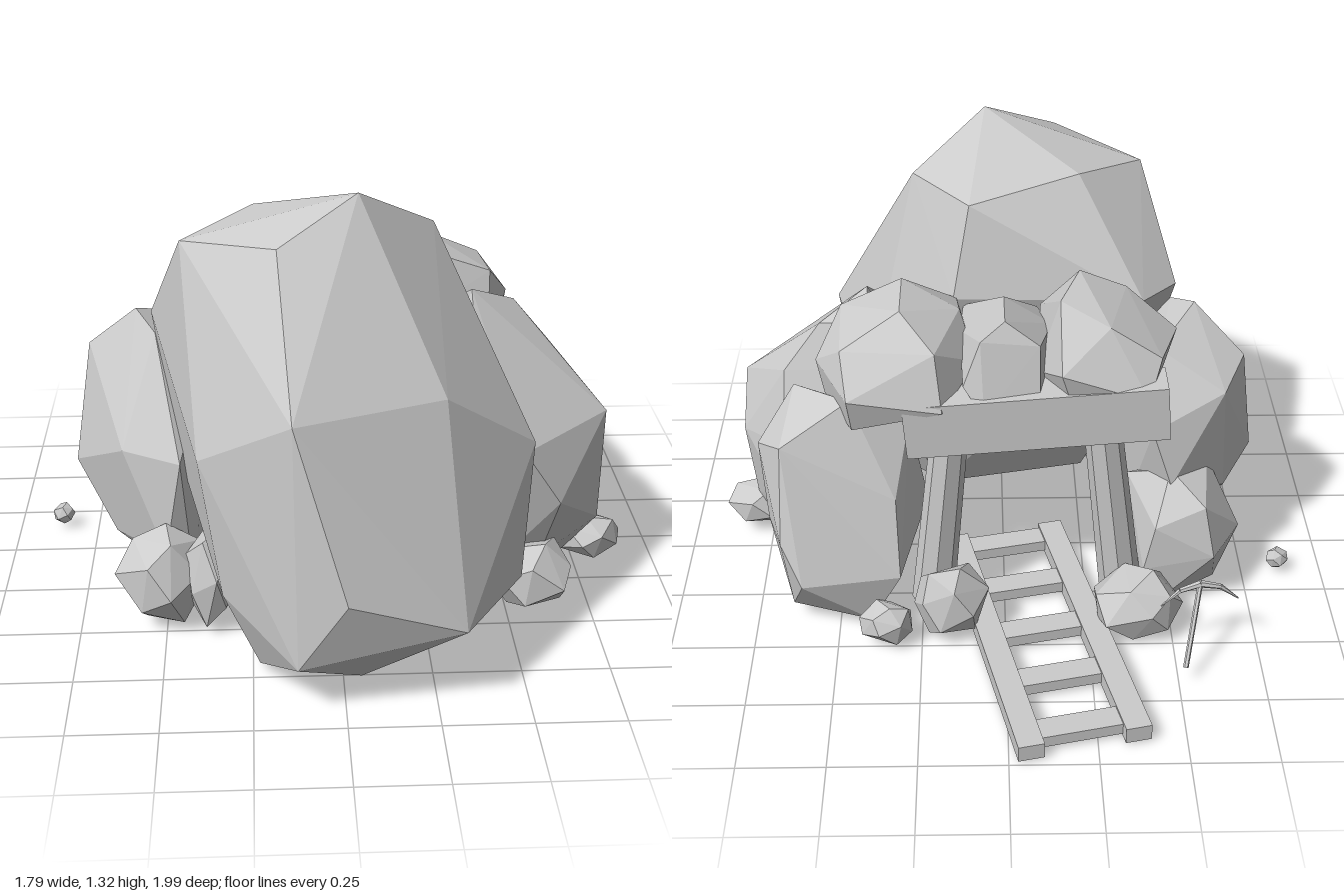
import * as THREE from 'three';
import { ConvexGeometry } from 'three/addons/geometries/ConvexGeometry.js';

const stone = new THREE.MeshStandardMaterial({ color: 0xcccccc, flatShading: true });
const V = (x, y, z) => new THREE.Vector3(x, y, z);

function add(parent, name, geometry) {
  const mesh = new THREE.Mesh(geometry, stone);
  mesh.name = name;
  parent.add(mesh);
  return mesh;
}

// Faceted boulder: convex hull around a few corner points
function boulder(parent, name, corners) {
  return add(parent, name, new ConvexGeometry(corners.map((c) => V(...c))));
}

// Rounded stone: hull of jittered points spread over an ellipsoid
function lump(parent, name, center, radii, seed) {
  const count = 16;
  let s = seed * 7919 + 17;
  const rand = () => (s = (s * 16807) % 2147483647) / 2147483647;
  const points = [];
  for (let i = 0; i < count; i++) {
    const y = 1 - (2 * (i + 0.5)) / count;
    const a = i * 2.39996 + seed + rand() * 0.4;
    const r = Math.sqrt(1 - y * y);
    const k = 0.98 + rand() * 0.14;
    points.push(V(
      center[0] + Math.cos(a) * r * k * radii[0],
      center[1] + y * k * radii[1],
      center[2] + Math.sin(a) * r * k * radii[2],
    ));
  }
  return add(parent, name, new ConvexGeometry(points));
}

// Cylinder or cone frustum between two points
function rod(parent, name, a, b, r0, r1, sides) {
  const mesh = add(parent, name, new THREE.CylinderGeometry(r1, r0, a.distanceTo(b), sides));
  mesh.position.copy(a).add(b).multiplyScalar(0.5);
  mesh.quaternion.setFromUnitVectors(V(0, 1, 0), b.clone().sub(a).normalize());
  return mesh;
}

function addBoulders(parent) {
  // Tall main rock
  boulder(parent, 'mainBoulder', [
    [0.05, 1.32, 0.48], [-0.43, 1.17, 0.41], [-0.17, 1.21, 0.61], [0.27, 1.18, 0.3], [-0.23, 1.21, 0.22], [0.1, 1.16, 0.11],
    [-0.53, 0.87, 0.16], [-0.42, 0.88, 0.03], [0.15, 0.88, 0.05],
    [-0.14, 0.85, 0.93], [0.27, 0.84, 0.75], [0.54, 0.62, 0.56], [-0.39, 0.65, 0.7], [-0.45, 0.45, 0.3],
    [0, 0.37, 1], [0.32, 0.25, 0.94], [0.5, 0.26, 0.67], [-0.13, 0.15, 0.95], [-0.33, 0.25, 0.72],
    [-0.23, 0.03, 0.72], [0.05, 0.02, 0.78], [0.42, 0.04, 0.52], [-0.27, 0.04, 0.4], [0.2, 0.04, 0.3], [0.42, 0.5, 0.2],
  ]);
  // Right-hand flank
  boulder(parent, 'flankBoulder', [
    [0.41, 0.9, 0.1], [0.4, 0.84, -0.02], [0.4, 0.73, 0.38], [0.55, 0.83, 0], [0.66, 0.7, 0.12], [0.66, 0.69, -0.04],
    [0.52, 0.57, 0.53], [0.63, 0.4, 0.51], [0.81, 0.55, 0.21], [0.81, 0.42, 0.06], [0.67, 0.47, -0.12],
    [0.79, 0.15, 0.1], [0.8, 0.2, 0.22], [0.68, 0.28, -0.14], [0.6, 0.15, 0.37], [0.68, 0.04, 0.18], [0.66, 0.08, -0.09],
    [0.45, 0.05, 0.3], [0.35, 0.08, 0.05], [0.25, 0.5, 0.28], [0.3, 0.5, -0.1], [0.34, 0.72, -0.08],
  ]);
  // Left-hand flank
  boulder(parent, 'flankBoulder', [
    [-0.58, 0.85, 0.08], [-0.52, 0.81, 0.18], [-0.73, 0.71, 0], [-0.46, 0.78, -0.08], [-0.66, 0.66, -0.14], [-0.78, 0.35, 0.06],
    [-0.66, 0.16, 0.17], [-0.62, 0.5, 0.32], [-0.45, 0.5, 0.42], [-0.5, 0.2, 0.4], [-0.42, 0.06, 0.35], [-0.68, 0.3, -0.1],
    [-0.55, 0.04, 0.1], [-0.38, 0.06, 0.05], [-0.4, 0.5, 0], [-0.38, 0.7, 0.15], [-0.44, 0.58, -0.23], [-0.5, 0.4, -0.25],
  ]);
  // Rocks beside the entrance
  boulder(parent, 'entranceBoulder', [
    [0.62, 0.71, -0.15], [0.45, 0.73, -0.28], [0.28, 0.64, -0.24], [0.65, 0.62, -0.36], [0.73, 0.55, -0.22], [0.7, 0.5, -0.1],
    [0.66, 0.32, -0.42], [0.32, 0.45, -0.38], [0.45, 0.52, -0.37], [0.71, 0.3, -0.25], [0.6, 0.2, -0.47], [0.31, 0.22, -0.45],
    [0.68, 0.1, -0.14], [0.64, 0.06, -0.36], [0.4, 0.04, -0.42], [0.32, 0.06, -0.2], [0.23, 0.35, -0.22], [0.4, 0.45, -0.08],
  ]);
  boulder(parent, 'entranceBoulder', [
    [-0.5, 0.44, -0.22], [-0.62, 0.42, -0.12], [-0.6, 0.36, -0.31], [-0.72, 0.22, -0.2], [-0.71, 0.13, -0.06], [-0.63, 0.2, -0.34],
    [-0.45, 0.3, -0.33], [-0.42, 0.15, -0.33], [-0.65, 0.04, -0.22], [-0.48, 0.03, -0.32], [-0.38, 0.06, -0.18],
    [-0.42, 0.03, 0], [-0.62, 0.03, -0.04], [-0.38, 0.35, -0.1],
  ]);
  // Rocks piled on the roof beam
  boulder(parent, 'roofBoulder', [
    [0.3, 0.98, -0.2], [0.13, 0.92, -0.08], [0.3, 0.98, 0], [0.48, 0.91, -0.03], [0.47, 0.89, -0.27], [0.2, 0.9, -0.31],
    [0.55, 0.8, -0.16], [0.45, 0.78, -0.37], [0.18, 0.74, -0.37], [0.08, 0.8, -0.18], [0.14, 0.88, 0.06], [0.2, 0.78, 0.11],
    [0.47, 0.7, 0.05], [0.25, 0.64, -0.2], [0.44, 0.67, -0.34], [0.53, 0.68, -0.15],
  ]);
  boulder(parent, 'roofBoulder', [
    [-0.22, 1.04, -0.07], [-0.16, 1.01, -0.2], [-0.36, 0.97, -0.04], [-0.3, 0.96, -0.27], [-0.51, 0.85, -0.08], [-0.45, 0.86, -0.27],
    [-0.41, 0.77, -0.36], [-0.16, 0.86, -0.37], [-0.11, 0.89, 0], [-0.3, 0.86, 0.04], [-0.09, 0.78, -0.2], [-0.4, 0.68, -0.1],
    [-0.2, 0.72, -0.34], [-0.22, 0.68, -0.04],
  ]);
  boulder(parent, 'roofBoulder', [
    [0, 0.99, -0.28], [0.07, 0.94, -0.31], [-0.1, 0.92, -0.3], [-0.14, 0.88, -0.1], [0.13, 0.86, -0.1], [0.12, 0.8, -0.32],
    [0, 0.96, -0.08], [-0.1, 0.86, 0.04], [0.12, 0.85, 0.07], [-0.1, 0.74, -0.34], [0.06, 0.72, -0.36], [0, 0.68, -0.02],
  ]);
}

function addLooseStones(parent) {
  // center, radii
  const stones = [
    [[-0.51, 0.16, 0.44], [0.13, 0.15, 0.11]],
    [[-0.37, 0.17, 0.47], [0.07, 0.16, 0.1]],
    [[0.57, 0.13, 0.43], [0.12, 0.11, 0.12]],
    [[0.79, 0.09, 0.13], [0.1, 0.075, 0.08]],
    [[-0.39, 0.11, -0.43], [0.135, 0.1, 0.115]],
    [[0.165, 0.13, -0.44], [0.11, 0.13, 0.085]],
    [[0.35, 0.08, -0.48], [0.08, 0.07, 0.065]],
    [[-0.86, 0.05, -0.15], [0.035, 0.035, 0.03]],
  ];
  stones.forEach(([c, r], i) => lump(parent, 'looseStone', c, r, i + 11));
}

function addEntranceFrame(parent) {
  const frame = new THREE.Group();
  frame.name = 'entranceFrame';
  parent.add(frame);
  rod(frame, 'post', V(0.22, 0.02, -0.29), V(0.16, 0.64, -0.3), 0.065, 0.055, 8);
  rod(frame, 'post', V(-0.36, 0.02, -0.29), V(-0.28, 0.68, -0.3), 0.065, 0.055, 8);
  const beam = add(frame, 'roofBeam', new THREE.BoxGeometry(0.76, 0.17, 0.12));
  beam.position.set(-0.09, 0.7, -0.305);
  beam.rotation.z = -0.08;
}

function addTrack(parent) {
  const track = new THREE.Group();
  track.name = 'track';
  track.position.set(-0.21, 0.035, -0.94);
  track.rotation.y = 0.22;
  parent.add(track);
  const length = 0.98;
  for (const side of [-1, 1]) {
    const rail = add(track, 'rail', new THREE.BoxGeometry(0.075, 0.05, length));
    rail.position.set(side * 0.154, 0, length / 2 - 0.013);
  }
  for (let i = 0; i < 5; i++) {
    const tie = add(track, 'tie', new THREE.BoxGeometry(0.27, 0.035, 0.075));
    tie.position.set(0, 0, 0.055 + i * 0.215);
  }
}

function addPickaxe(parent) {
  const pick = new THREE.Group();
  pick.name = 'pickaxe';
  parent.add(pick);
  rod(pick, 'handle', V(-0.565, 0.25, -0.525), V(-0.517, 0.06, -0.675), 0.008, 0.008, 6);
  // Head: curved bar tapering to both tips
  const path = [V(-0.68, 0.19, -0.52), V(-0.625, 0.235, -0.522), V(-0.565, 0.25, -0.528), V(-0.505, 0.235, -0.54), V(-0.45, 0.19, -0.555)];
  const thick = [0.002, 0.008, 0.011, 0.008, 0.002];
  for (let i = 0; i < 4; i++) rod(pick, 'head', path[i], path[i + 1], thick[i], thick[i + 1], 6);
}

export function createModel() {
  const model = new THREE.Group();
  model.name = 'mineEntrance';
  addBoulders(model);
  addLooseStones(model);
  addEntranceFrame(model);
  addTrack(model);
  addPickaxe(model);
  return model;
}
